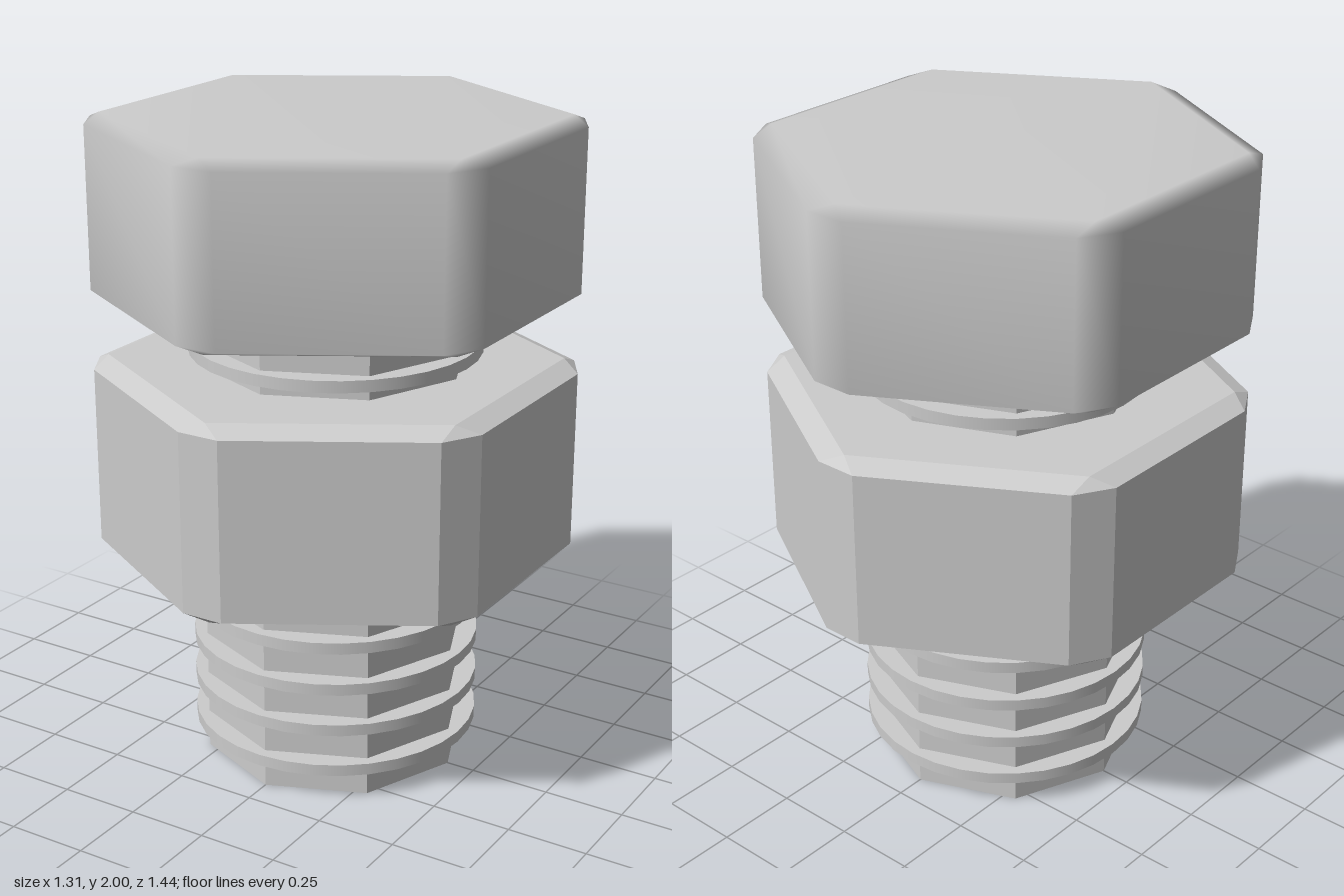
import * as THREE from 'three';

// Hexagonal prism with every edge chamfered; corners point along z
function chamferedHex(y0, y1, drop) {
  const pos = [], idx = [];
  const put = (r, angle, y) => pos.push(r * Math.sin(angle), y, r * Math.cos(angle));
  const hexRing = y => { for (let k = 0; k < 6; k++) put(0.684, k * Math.PI / 3, y); };
  const cutRing = y => {
    for (let k = 0; k < 6; k++) for (const s of [-1, 1]) put(0.723, k * Math.PI / 3 + s * 0.09, y);
  };
  hexRing(y1);          // 0-5
  cutRing(y1 - drop);   // 6-17
  cutRing(y0 + drop);   // 18-29
  hexRing(y0);          // 30-35

  for (let k = 0; k < 6; k++) {
    const n = (k + 1) % 6;
    // upper chamfer: corner triangle and edge strip
    idx.push(k, 6 + 2 * k, 7 + 2 * k);
    idx.push(k, 7 + 2 * k, 6 + 2 * n, k, 6 + 2 * n, n);
    // lower chamfer
    idx.push(18 + 2 * k, 30 + k, 19 + 2 * k);
    idx.push(19 + 2 * k, 30 + k, 30 + n, 19 + 2 * k, 30 + n, 18 + 2 * n);
  }
  // upright sides
  for (let j = 0; j < 12; j++) {
    const n = (j + 1) % 12;
    idx.push(6 + j, 18 + j, 18 + n, 6 + j, 18 + n, 6 + n);
  }
  // flat ends
  for (let k = 1; k < 5; k++) idx.push(0, k, k + 1, 30, 31 + k, 30 + k);

  const geo = new THREE.BufferGeometry();
  geo.setAttribute('position', new THREE.Float32BufferAttribute(pos, 3));
  geo.setIndex(idx);
  geo.computeVertexNormals();
  return geo;
}

export function createModel() {
  const model = new THREE.Group();
  model.name = 'boltAndNut';
  const smooth = new THREE.MeshStandardMaterial({ color: 0xcccccc });
  const flat = new THREE.MeshStandardMaterial({ color: 0xcccccc, flatShading: true });

  const add = (name, geo, material, y = 0, parent = model) => {
    const mesh = new THREE.Mesh(geo, material);
    mesh.name = name;
    mesh.position.y = y;
    parent.add(mesh);
    return mesh;
  };

  // Smooth-shaded head and faceted nut
  add('head', chamferedHex(1.46, 2, 0.024), smooth);
  add('nut', chamferedHex(0.662, 1.265, 0.028), flat);

  // Eight-sided shank reaching into the head
  add('shank', new THREE.CylinderGeometry(0.41, 0.41, 1.48, 8), flat, 0.74);

  // Evenly spaced thread rings, some of them inside the nut
  const thread = new THREE.Group();
  thread.name = 'thread';
  model.add(thread);
  const ringGeo = new THREE.CylinderGeometry(0.443, 0.443, 0.036, 32);
  for (let i = 0; i < 10; i++) add('threadRing', ringGeo, smooth, 0.102 + i * 0.1352, thread);

  return model;
}
